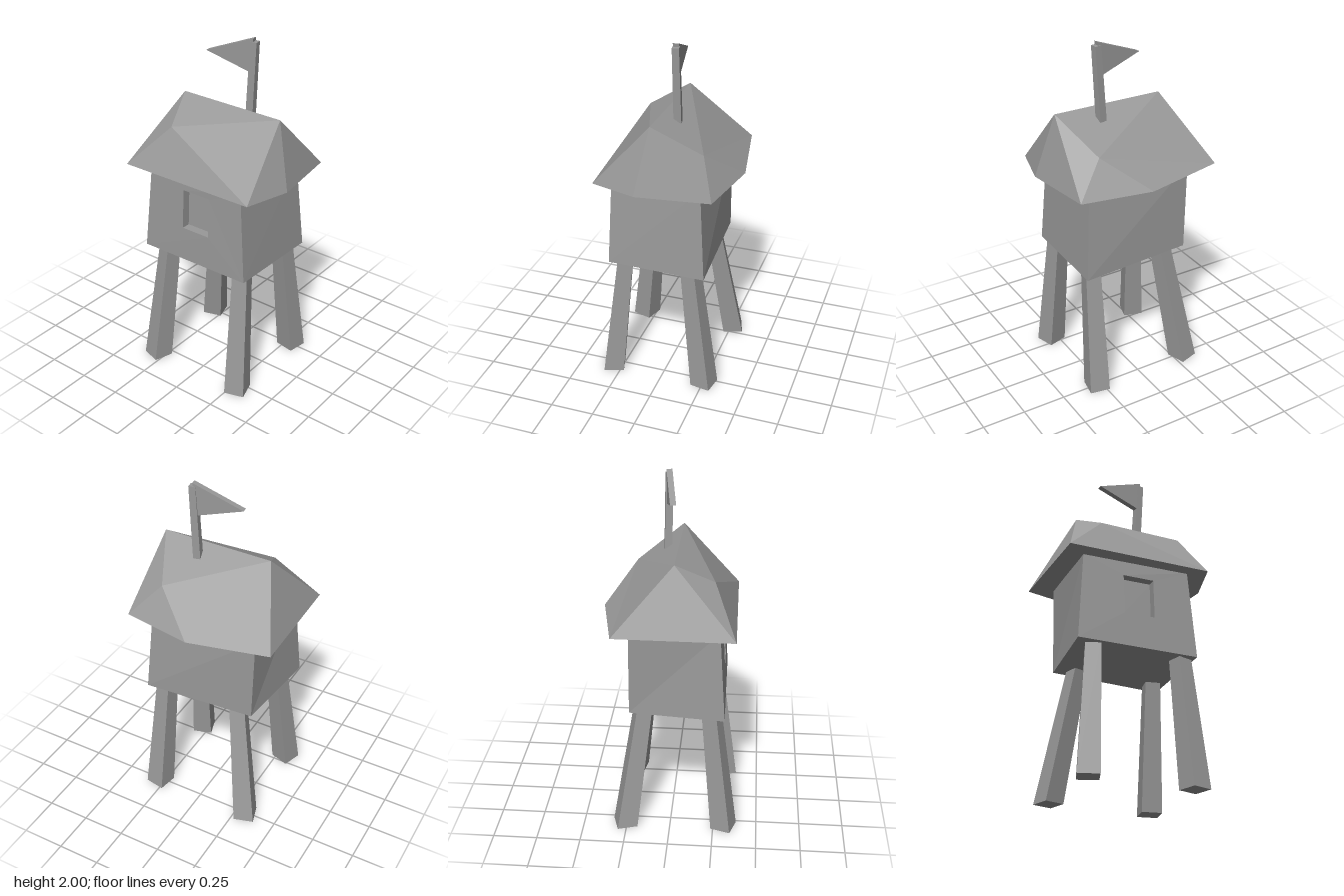
import * as THREE from 'three';

const material = new THREE.MeshStandardMaterial({ color: 0x999999, flatShading: true });

function add(parent, name, geometry) {
  const mesh = new THREE.Mesh(geometry, material);
  mesh.name = name;
  parent.add(mesh);
  return mesh;
}

// Flat-faced solid from corner points and polygons (counter-clockwise from outside)
function facets(points, faces) {
  const pos = [];
  for (const f of faces) {
    for (let i = 1; i < f.length - 1; i++) {
      pos.push(...points[f[0]], ...points[f[i]], ...points[f[i + 1]]);
    }
  }
  const g = new THREE.BufferGeometry();
  g.setAttribute('position', new THREE.Float32BufferAttribute(pos, 3));
  g.computeVertexNormals();
  return g;
}

// Leaning, tapering square post between two centres
function post(bottom, top, wBottom, wTop, turn) {
  const g = new THREE.BoxGeometry(1, 1, 1).rotateY(turn);
  const p = g.attributes.position;
  for (let i = 0; i < p.count; i++) {
    const t = p.getY(i) + 0.5;
    const w = THREE.MathUtils.lerp(wBottom, wTop, t);
    const c = bottom.map((b, k) => THREE.MathUtils.lerp(b, top[k], t));
    p.setXYZ(i, c[0] + p.getX(i) * w, c[1], c[2] + p.getZ(i) * w);
  }
  g.computeVertexNormals();
  return g;
}

export function createModel() {
  const tower = new THREE.Group();
  tower.name = 'watchtower';

  // Splayed legs: [name, bottom x/z, top x/z, turn in degrees]
  const legs = [
    ['frontLeftLeg', [0.255, 0.282], [0.16, 0.26], -10],
    ['frontRightLeg', [-0.30, 0.288], [-0.22, 0.26], 17],
    ['backLeftLeg', [0.259, -0.31], [0.153, -0.197], 17],
    ['backRightLeg', [-0.31, -0.30], [-0.225, -0.25], -18],
  ];
  for (const [name, b, t, turn] of legs) {
    add(tower, name, post([b[0], 0.003, b[1]], [t[0], 0.77, t[1]],
      0.116, 0.085, THREE.MathUtils.degToRad(turn)));
  }

  // Cabin with a recessed window in its right wall
  const cabin = [
    [-0.298, 0.745, 0.327], [0.26, 0.74, 0.335], [0.225, 0.75, -0.317], [-0.304, 0.745, -0.364],
    [-0.28, 1.26, 0.29], [0.225, 1.26, 0.30], [0.22, 1.26, -0.33], [-0.27, 1.26, -0.33],
  ];
  for (const depth of [0, 0.05]) {
    cabin.push(
      [-0.293 + depth, 0.94, -0.097], [-0.292 + depth, 0.94, 0.08],
      [-0.281 + depth, 1.17, 0.08], [-0.28 + depth, 1.17, -0.097]);
  }
  const cabinFaces = [[3, 2, 1, 0], [4, 5, 6, 7], [0, 1, 5, 4], [1, 2, 6, 5], [2, 3, 7, 6], [12, 13, 14, 15]];
  const wall = [3, 0, 4, 7];
  for (let i = 0; i < 4; i++) {
    const j = (i + 1) % 4;
    cabinFaces.push([wall[i], wall[j], 8 + j, 8 + i]);   // wall around the opening
    cabinFaces.push([8 + i, 8 + j, 12 + j, 12 + i]);     // window reveal
  }
  add(tower, 'cabin', facets(cabin, cabinFaces));

  // Crooked roof: six eave corners, two ridge ends, one bend on each slope
  const roof = [
    [-0.357, 1.257, -0.437], [0.30, 1.27, -0.458], [0.387, 1.255, 0],
    [0.317, 1.255, 0.40], [-0.093, 1.255, 0.455], [-0.352, 1.257, 0.385],
    [-0.023, 1.62, -0.287], [-0.032, 1.62, 0.357],
    [-0.235, 1.50, -0.21], [0.222, 1.44, 0.235],
  ];
  add(tower, 'roof', facets(roof, [
    [0, 1, 2, 3, 4, 5],
    [0, 6, 1], [6, 9, 1], [9, 2, 1], [9, 3, 2], [6, 7, 9], [7, 3, 9],
    [7, 4, 3], [7, 5, 4], [8, 5, 7], [0, 5, 8], [8, 7, 6], [0, 8, 6],
  ]));

  // Flagpole and pennant
  add(tower, 'flagpole', post([0.04, 1.557, 0.115], [0.037, 1.98, 0.14], 0.042, 0.038, 0.15));
  const pennant = new THREE.Shape([
    new THREE.Vector2(0, 2), new THREE.Vector2(0.025, 1.815), new THREE.Vector2(0.28, 1.89),
  ]);
  const flag = new THREE.ExtrudeGeometry(pennant, { depth: 0.032, bevelEnabled: false });
  flag.translate(0, 0, -0.016);
  const mesh = add(tower, 'pennant', flag);
  mesh.rotation.y = THREE.MathUtils.degToRad(98.5);
  mesh.position.set(0.036, 0, 0.139);

  return tower;
}
